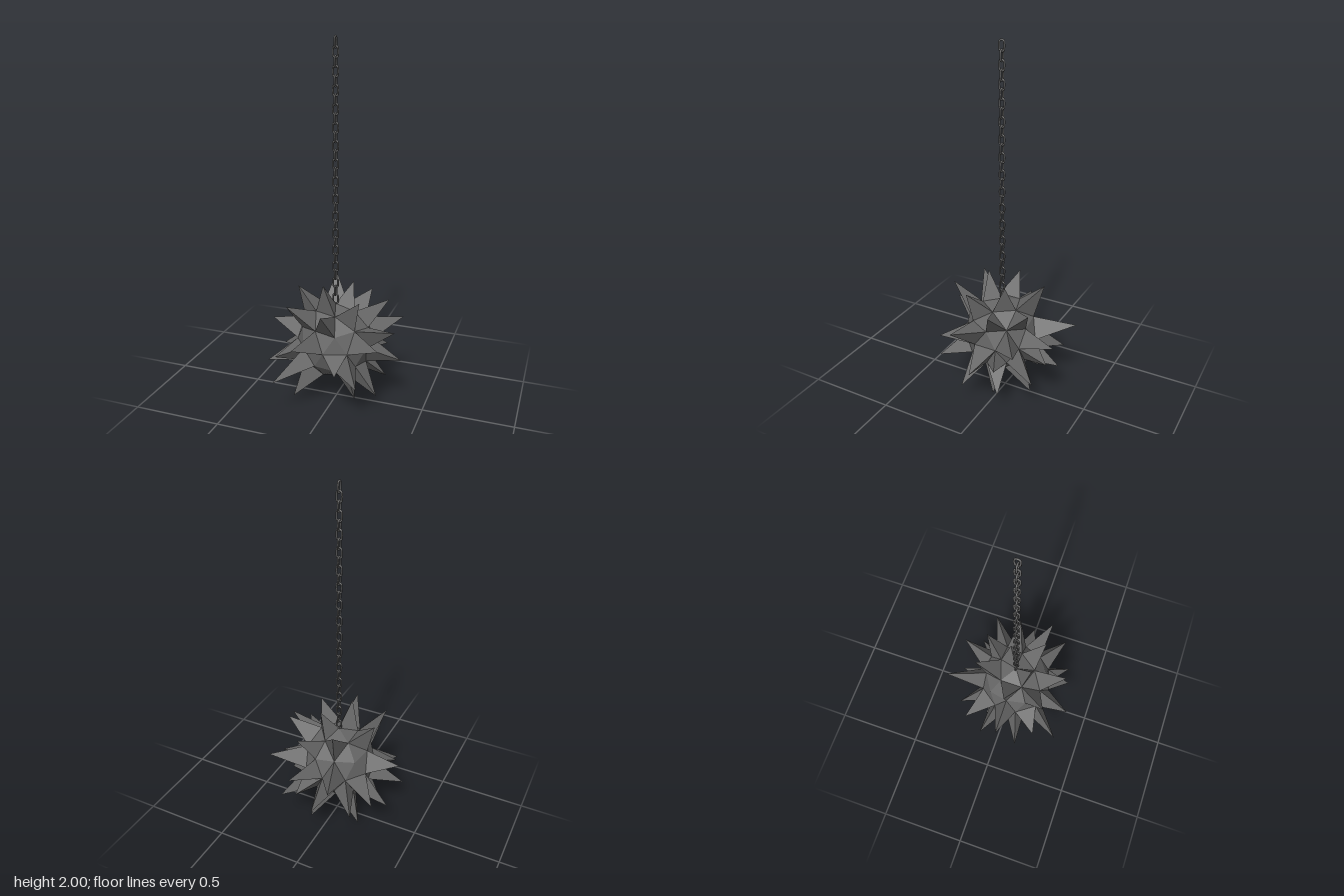
import * as THREE from 'three';

const BALL = new THREE.Vector3(0, 0.37, 0.02); // centre of the ball
const RADIUS = 0.21;

// Spikes by ring: polar angle from the top, then [azimuth, tip distance] in degrees and units
const RINGS = [
  [17.5, [[108, 0.365], [324, 0.345]]],
  [37.4, [[36, 0.36], [180, 0.36], [252, 0.39]]],
  [49.9, [[85, 0.395], [131, 0.394], [301, 0.355], [347, 0.383]]],
  [69.9, [[18, 0.41]]],
  [80.9, [[288, 0.4]]],
  [79.2, [[36, 0.386], [108, 0.386], [180, 0.382], [252, 0.428], [324, 0.41]]],
  [100.8, [[0, 0.382], [72, 0.335], [144, 0.353], [216, 0.39], [288, 0.353]]],
  [110.1, [[54, 0.381], [126, 0.438], [162, 0.404], [198, 0.4], [234, 0.388],
    [270, 0.378], [306, 0.397], [342, 0.29]]],
  [130.1, [[23, 0.385], [337, 0.375]]],
  [142.6, [[144, 0.403], [216, 0.395], [288, 0.38]]],
  [162.5, [[0, 0.383]]],
];

function spikedBall(material) {
  // Faceted sphere with a vertex at the top and its first ring starting at +x
  const sphere = new THREE.IcosahedronGeometry(RADIUS, 1);
  sphere.rotateZ(Math.atan(2 / (1 + Math.sqrt(5)))).rotateY(Math.PI);
  const p = sphere.attributes.position;
  const faces = [];
  for (let i = 0; i < p.count; i += 3) {
    const corners = [0, 1, 2].map((k) => new THREE.Vector3().fromBufferAttribute(p, i + k));
    const dir = corners[0].clone().add(corners[1]).add(corners[2]).normalize();
    faces.push({ corners, dir, tip: 0 });
  }

  // Give each listed spike to the face it points through
  for (const [polar, spikes] of RINGS) {
    for (const [azimuth, reach] of spikes) {
      const t = THREE.MathUtils.degToRad(polar);
      const a = THREE.MathUtils.degToRad(azimuth);
      const d = new THREE.Vector3(Math.sin(t) * Math.cos(a), Math.cos(t), Math.sin(t) * Math.sin(a));
      const face = faces.reduce((best, f) => (f.dir.dot(d) > best.dir.dot(d) ? f : best));
      face.tip = reach;
    }
  }

  // Plain faces stay flat, the others become three-sided spikes
  const points = [];
  for (const { corners: [a, b, c], dir, tip } of faces) {
    if (!tip) {
      points.push(a, b, c);
      continue;
    }
    const apex = dir.clone().multiplyScalar(tip);
    points.push(a, b, apex, b, c, apex, c, a, apex);
  }
  const geometry = new THREE.BufferGeometry().setFromPoints(points);
  geometry.computeVertexNormals();
  const mesh = new THREE.Mesh(geometry, material);
  mesh.name = 'spikedBall';
  mesh.position.copy(BALL);
  return mesh;
}

function chain(material) {
  const group = new THREE.Group();
  group.name = 'chain';
  // One oblong link: a ring with its halves pulled apart
  const link = new THREE.TorusGeometry(0.0142, 0.005, 8, 18);
  const p = link.attributes.position;
  const n = link.attributes.normal;
  for (let i = 0; i < p.count; i++) {
    const y = p.getY(i);
    if (Math.abs(y) > 1e-6) p.setY(i, y + Math.sign(y) * 0.0138);
  }
  n.needsUpdate = true;

  // Links alternate by a quarter turn
  for (let i = 0; i < 30; i++) {
    const mesh = new THREE.Mesh(link, material);
    mesh.name = 'chainLink';
    mesh.position.set(0, 1.967 - i * 0.0468, BALL.z);
    mesh.rotation.y = i % 2 ? 0 : Math.PI / 2;
    group.add(mesh);
  }
  return group;
}

export function createModel() {
  const model = new THREE.Group();
  model.name = 'spikedBallOnChain';
  model.add(
    spikedBall(new THREE.MeshStandardMaterial({ color: 0x666666, flatShading: true })),
    chain(new THREE.MeshStandardMaterial({ color: 0x666666 })),
  );
  return model;
}
